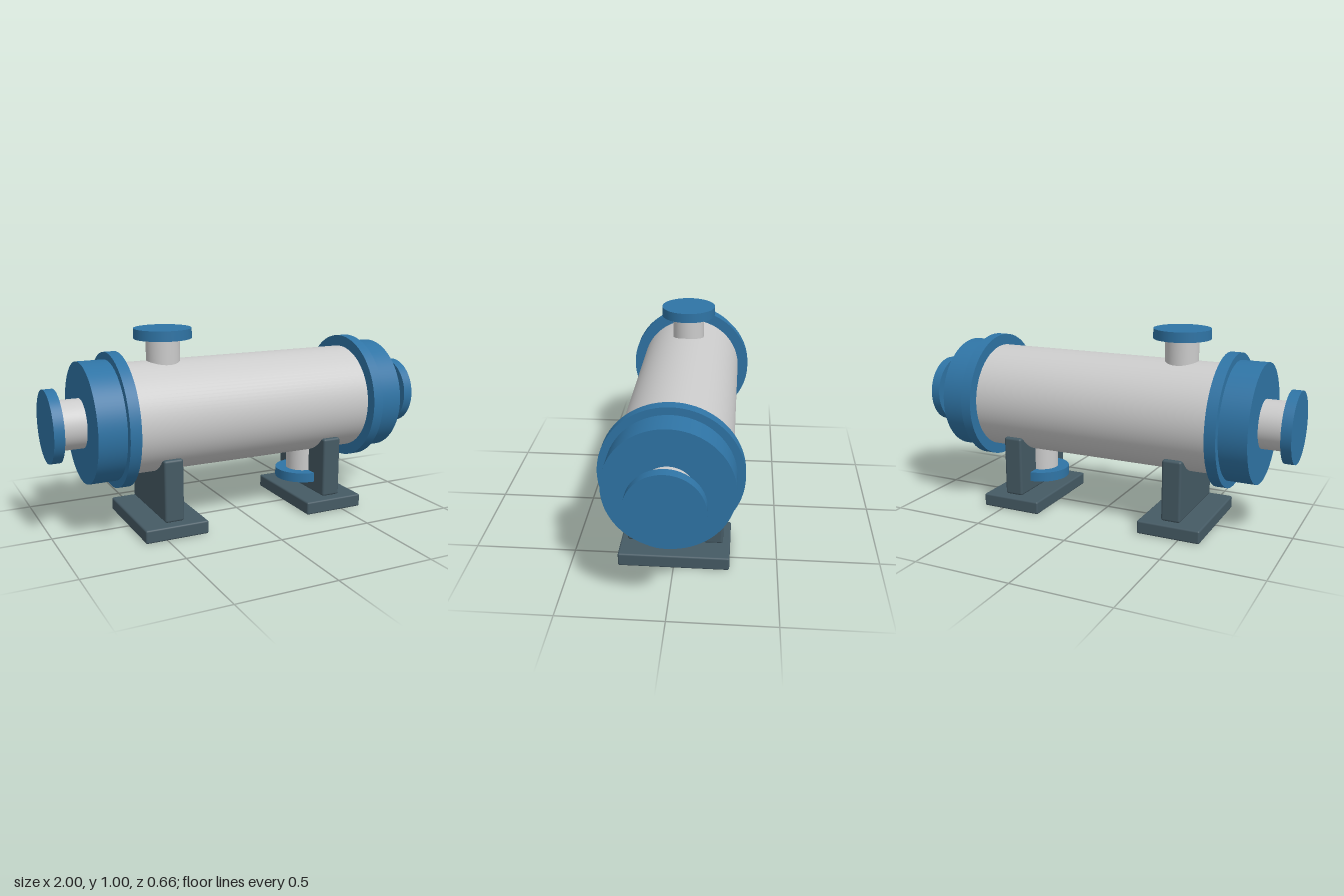
import * as THREE from 'three';
import { RoundedBoxGeometry } from 'three/addons/geometries/RoundedBoxGeometry.js';

const AXIS_Y = 0.563;

export function createModel() {
  const model = new THREE.Group();
  model.name = 'heatExchanger';

  const grey = new THREE.MeshStandardMaterial({ color: 0xcccccc });
  const blue = new THREE.MeshStandardMaterial({ color: 0x2f74a5 });
  const slate = new THREE.MeshStandardMaterial({ color: 0x455a64 });

  const add = (name, geometry, material, x, y, z = 0) => {
    const mesh = new THREE.Mesh(geometry, material);
    mesh.name = name;
    mesh.position.set(x, y, z);
    model.add(mesh);
  };

  // Cylinder along x between two stations on the main axis
  const alongX = (name, radius, x0, x1, material) => {
    const geometry = new THREE.CylinderGeometry(radius, radius, Math.abs(x1 - x0), 96);
    geometry.rotateZ(-Math.PI / 2);
    add(name, geometry, material, (x0 + x1) / 2, AXIS_Y);
  };

  // Upright cylinder between two heights
  const upright = (name, radius, x, y0, y1, material) =>
    add(name, new THREE.CylinderGeometry(radius, radius, y1 - y0, 64), material, x, (y0 + y1) / 2);

  alongX('shell', 0.275, -0.66, 0.66, grey);

  for (const [side, s] of [['left', 1], ['right', -1]]) {
    // End channel with its girth flange and axial nozzle
    alongX(side + 'GirthFlange', 0.332, s * 0.637, s * 0.692, blue);
    alongX(side + 'Channel', 0.296, s * 0.67, s * 0.83, blue);
    alongX(side + 'EndNozzle', 0.121, s * 0.82, s * 0.96, grey);
    alongX(side + 'EndNozzleFlange', 0.177, s * 0.95, s, blue);

    // Support saddle: upright web over a base plate
    add(side + 'SaddleWeb', new RoundedBoxGeometry(0.1, 0.315, 0.47, 3, 0.012), slate, s * 0.447, 0.233);
    add(side + 'SaddleBase', new RoundedBoxGeometry(0.327, 0.068, 0.54, 3, 0.009), slate, s * 0.447, 0.035);
  }

  // Shell inlet on top and outlet below
  upright('topNozzle', 0.084, -0.403, 0.78, 0.96, grey);
  upright('topNozzleFlange', 0.143, -0.403, 0.947, 0.997, blue);
  upright('bottomNozzle', 0.084, 0.4, 0.17, 0.35, grey);
  upright('bottomNozzleFlange', 0.143, 0.4, 0.132, 0.182, blue);

  return model;
}
